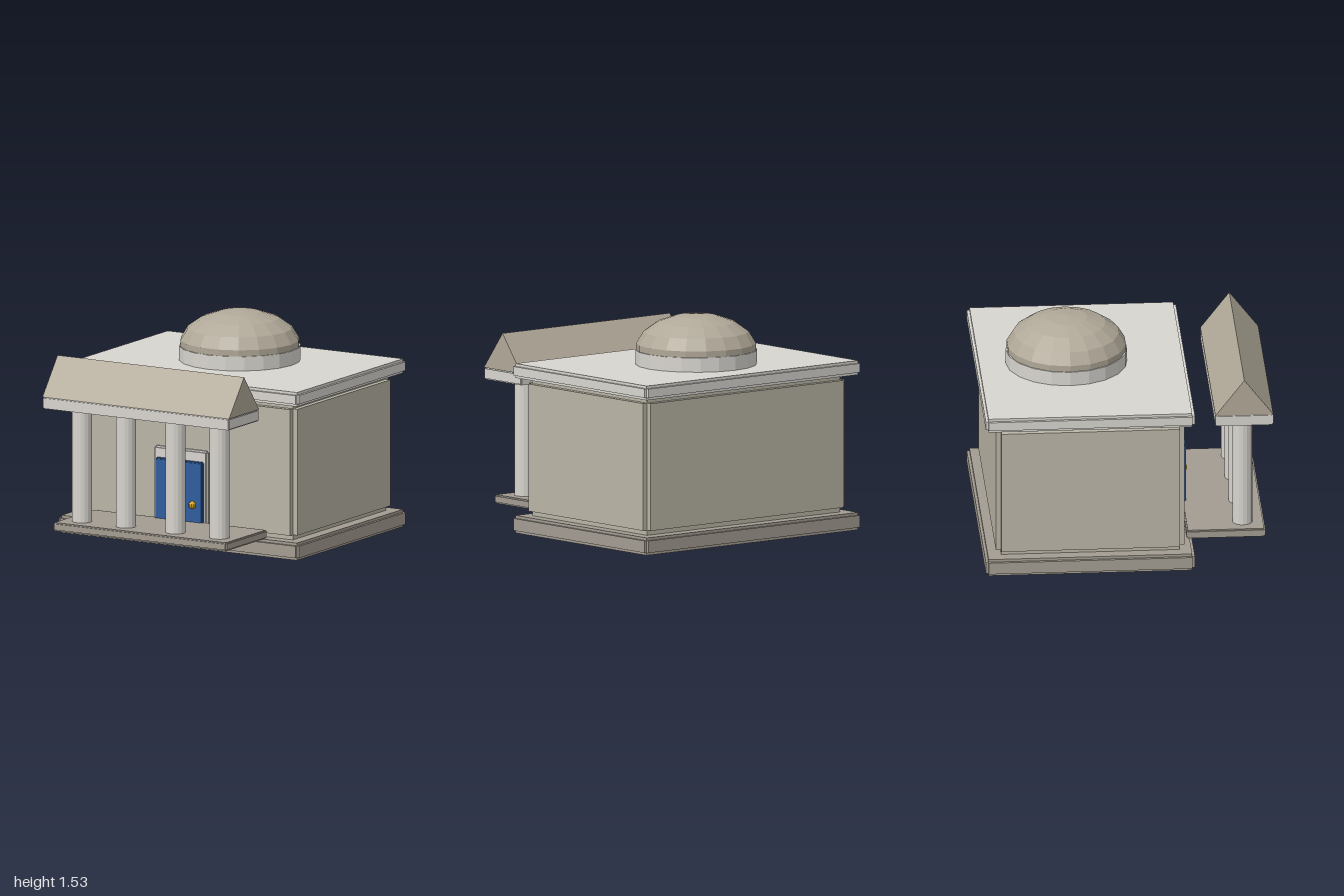
import * as THREE from 'three';

const paint = (color) => new THREE.MeshStandardMaterial({ color, flatShading: true });

export function createModel() {
  const model = new THREE.Group();
  const wallStone = paint(0xbab5a6);
  const baseStone = paint(0xa39c92);
  const trimStone = paint(0xd8d5cf);
  const roofStone = paint(0xb0a898);
  const blue = paint(0x2f5c9f);
  const gold = paint(0xd4a017);

  function add(name, geometry, material, x, y, z, parent = model) {
    const mesh = new THREE.Mesh(geometry, material);
    mesh.name = name;
    mesh.position.set(x, y, z);
    parent.add(mesh);
    return mesh;
  }

  // Block with notched edges: three crossing boxes, each full-size along one axis only
  function notchedBlock(name, material, [x0, x1], [y0, y1], [z0, z1], inset) {
    const block = new THREE.Group();
    block.name = name;
    const size = [x1 - x0, y1 - y0, z1 - z0];
    for (let axis = 0; axis < 3; axis++) {
      const s = size.map((v, i) => (i === axis ? v : v - 2 * inset));
      add(name + 'Core', new THREE.BoxGeometry(...s), material, 0, 0, 0, block);
    }
    block.position.set((x0 + x1) / 2, (y0 + y1) / 2, (z0 + z1) / 2);
    model.add(block);
  }

  // Main building
  notchedBlock('base', baseStone, [-0.97, 0.97], [0, 0.122], [-1, 0.445], 0.019);
  notchedBlock('walls', wallStone, [-0.905, 0.905], [0.12, 1.08], [-0.925, 0.38], 0.037);
  notchedBlock('roofSlab', trimStone, [-0.97, 0.97], [1.08, 1.18], [-1, 0.445], 0.019);

  // Dome on its drum
  add('drum', new THREE.CylinderGeometry(0.42, 0.42, 0.1, 20), trimStone, 0, 1.23, -0.378);
  add('dome', new THREE.SphereGeometry(0.42, 18, 9), roofStone, 0, 1.28, -0.378)
    .scale.set(1, 0.25 / 0.42, 1);

  // Doorway
  notchedBlock('doorFrame', trimStone, [-0.215, 0.215], [0.02, 0.685], [0.35, 0.408], 0.012);
  notchedBlock('door', blue, [-0.19, 0.19], [0.008, 0.608], [0.395, 0.437], 0.008);
  add('doorKnob', new THREE.SphereGeometry(0.027, 10, 8), gold, 0.115, 0.306, 0.439);

  // Porch
  notchedBlock('porchFloor', baseStone, [-0.7, 0.7], [0.125, 0.185], [0.405, 0.95], 0.009);
  for (const x of [-0.555, -0.2, 0.2, 0.555]) {
    add('column', new THREE.CylinderGeometry(0.07, 0.07, 0.815, 16), trimStone, x, 0.5875, 0.8);
  }
  notchedBlock('lintel', trimStone, [-0.752, 0.752], [0.988, 1.07], [0.6, 1.0], 0.007);

  // Gable roof: a triangle extruded along x
  const gable = new THREE.Shape([
    new THREE.Vector2(-0.2, 0), new THREE.Vector2(0.2, 0), new THREE.Vector2(0, 0.26),
  ]);
  const gableGeometry = new THREE.ExtrudeGeometry(gable, { depth: 1.506, bevelEnabled: false });
  gableGeometry.translate(0, 0, -0.753).rotateY(Math.PI / 2);
  add('porchGable', gableGeometry, roofStone, 0, 1.07, 0.8);

  return model;
}
